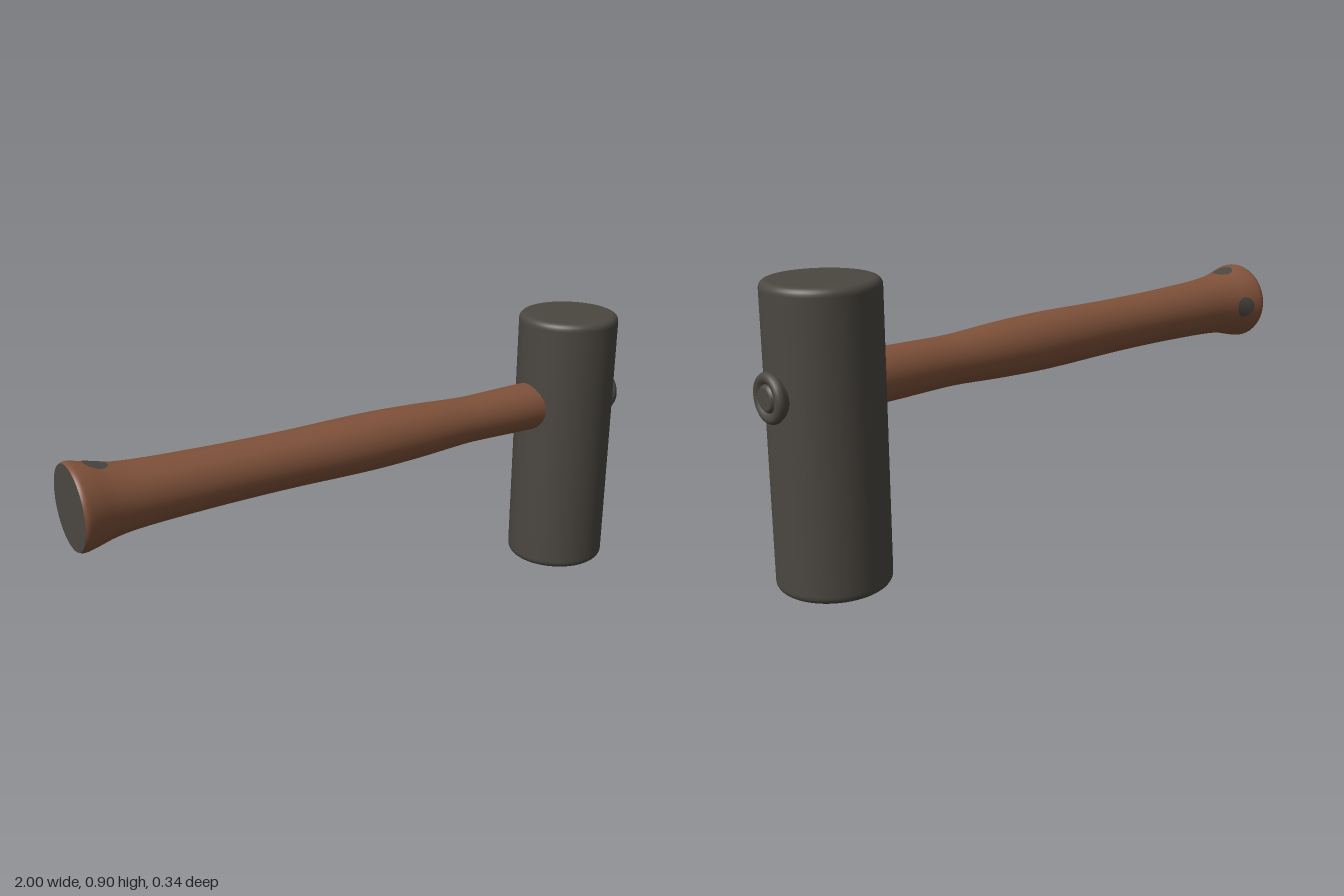
import * as THREE from 'three';

const AXIS_Y = 0.592; // height of the handle axis
const HEAD_X = 0.805;

const wood = new THREE.MeshStandardMaterial({ color: 0x80523a });
wood.name = 'brown wood';
const iron = new THREE.MeshStandardMaterial({ color: 0x4b4741 });
iron.name = 'dark iron';

function addMesh(group, name, geometry, material) {
  const mesh = new THREE.Mesh(geometry, material);
  mesh.name = name;
  group.add(mesh);
  return mesh;
}

// Lathe whose axis lies along x at handle height; points are (radius, x)
function latheAlongX(points, segments) {
  return new THREE.LatheGeometry(points, segments).rotateZ(-Math.PI / 2).translate(0, AXIS_Y, 0);
}

const toPoints = (pairs) => pairs.map(([r, x]) => new THREE.Vector2(r, x));

// Swelling profile of the handle: flared butt, full belly, slim neck
const handleProfile = new THREE.SplineCurve(toPoints([
  [0.129, -1], [0.133, -0.985], [0.126, -0.95], [0.111, -0.89], [0.102, -0.82],
  [0.096, -0.7], [0.091, -0.5], [0.09, -0.3], [0.093, -0.1], [0.093, 0.03],
  [0.088, 0.18], [0.079, 0.34], [0.078, 0.42], [0.081, 0.58], [0.083, 0.72],
])).getPoints(90);

function handleRadius(x) {
  const i = Math.max(1, handleProfile.findIndex((p) => p.y >= x));
  const a = handleProfile[i - 1], b = handleProfile[i];
  return THREE.MathUtils.mapLinear(x, a.y, b.y, a.x, b.x);
}

// Thin disc wrapped onto the handle; angle 0 is the top, positive turns to +z
function plugGeometry(x, angle, radius) {
  const geometry = new THREE.RingGeometry(0, radius, 24, 5);
  const pos = geometry.attributes.position;
  for (let i = 0; i < pos.count; i++) {
    const px = x + pos.getX(i);
    const r = handleRadius(px) + 0.002;
    const a = angle - pos.getY(i) / r;
    pos.setXYZ(i, px, AXIS_Y + r * Math.cos(a), r * Math.sin(a));
  }
  geometry.computeVertexNormals();
  return geometry;
}

// Upright cylinder with softly rounded rims
function headGeometry(radius, height, bevel) {
  const points = [[0, 0], [radius - bevel - 0.003, 0]];
  for (let end = 0; end < 2; end++) {
    for (let i = 0; i <= 6; i++) {
      const a = ((i / 6) + end - 1) * Math.PI / 2;
      const cy = end ? height - bevel : bevel;
      points.push([radius - bevel + bevel * Math.cos(a), cy + bevel * Math.sin(a)]);
    }
    if (!end) points.push([radius, bevel + 0.003], [radius, height - bevel - 0.003]);
  }
  points.push([radius - bevel - 0.003, height], [0, height]);
  return new THREE.LatheGeometry(toPoints(points), 64).translate(HEAD_X, 0, 0);
}

export function createModel() {
  const group = new THREE.Group();
  group.name = 'mallet';

  addMesh(group, 'head', headGeometry(0.169, 0.902, 0.022), iron);

  // Handle with its dark butt face
  addMesh(group, 'handle', latheAlongX(handleProfile, 48), wood);
  const butt = new THREE.CircleGeometry(0.129, 48).rotateY(-Math.PI / 2).translate(-1, AXIS_Y, 0);
  addMesh(group, 'buttFace', butt, iron);

  // Plugs on the top and the back of the butt
  addMesh(group, 'topPlug', plugGeometry(-0.915, 0, 0.036), iron);
  addMesh(group, 'backPlug', plugGeometry(-0.915, -Math.PI / 2, 0.036), iron);

  // Retaining button on the far side of the head: rounded washer and centre boss
  addMesh(group, 'button', latheAlongX(toPoints([
    [0.062, 0.95], [0.068, 0.972], [0.073, 0.978], [0.073, 0.987], [0.068, 0.995],
    [0.06, 0.999], [0.049, 0.998], [0.042, 0.99], [0.039, 0.99], [0.037, 0.996],
    [0.033, 1], [0.03, 1], [0, 1],
  ]), 40), iron);

  return group;
}
